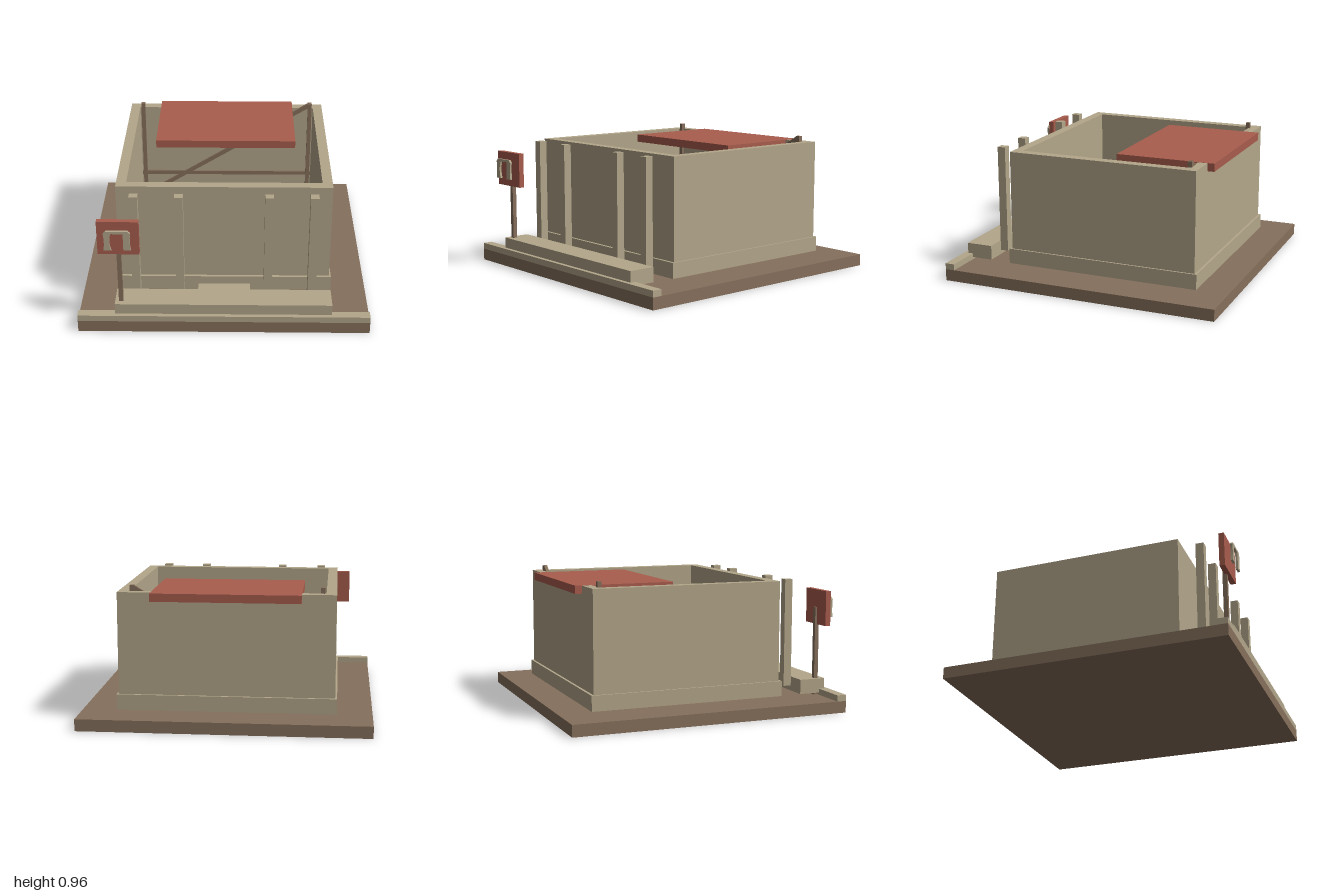
import * as THREE from 'three';

const mat = (name, color) => {
  const m = new THREE.MeshStandardMaterial({ color });
  m.name = name;
  return m;
};

export function createModel() {
  const group = new THREE.Group();
  const sand = mat('sand', 0xb3a68a);
  const earth = mat('earth brown', 0x86705c);
  const brick = mat('brick red', 0xa85d4d);

  const add = (name, geometry, material) => {
    const mesh = new THREE.Mesh(geometry, material);
    mesh.name = name;
    group.add(mesh);
    return mesh;
  };
  // Box given by its extents along each axis
  const box = (name, material, [x0, x1], [y0, y1], [z0, z1]) => {
    const mesh = add(name, new THREE.BoxGeometry(x1 - x0, y1 - y0, z1 - z0), material);
    mesh.position.set((x0 + x1) / 2, (y0 + y1) / 2, (z0 + z1) / 2);
    return mesh;
  };

  // Ground slab and front kerb
  box('groundSlab', earth, [-1, 1], [0, 0.083], [-1, 1]);
  box('frontKerb', sand, [-1, 1], [0.083, 0.127], [0.932, 1]);

  // Plinth, which is also the floor of the room
  box('plinth', sand, [-0.757, 0.752], [0.1, 0.208], [-0.788, 0.622]);

  // Roofless walls: a rectangle with a rectangular hole, extruded upwards
  const rect = (path, x0, x1, z0, z1) =>
    path.moveTo(x0, -z1).lineTo(x1, -z1).lineTo(x1, -z0).lineTo(x0, -z0).closePath();
  const plan = new THREE.Shape();
  rect(plan, -0.744, 0.739, -0.77, 0.602);
  const hole = new THREE.Path();
  rect(hole, -0.674, 0.669, -0.7, 0.533);
  plan.holes.push(hole);
  const wallGeometry = new THREE.ExtrudeGeometry(plan, { depth: 0.707, bevelEnabled: false });
  wallGeometry.rotateX(-Math.PI / 2);
  add('walls', wallGeometry, sand).position.y = 0.208;

  // Low counter in the front corner of the room
  box('counter', sand, [0.23, 0.669], [0.208, 0.42], [0.295, 0.533]);

  // Timber frame along the back wall
  for (const x of [-0.65, 0.645]) {
    box('framePost', earth, [x - 0.015, x + 0.015], [0.12, 0.955], [-0.712, -0.682]);
  }
  box('frameRail', earth, [-0.674, 0.669], [0.335, 0.365], [-0.708, -0.685]);
  const low = new THREE.Vector2(-0.65, 0.15);
  const high = new THREE.Vector2(0.645, 0.945);
  const brace = add('frameBrace',
    new THREE.BoxGeometry(low.distanceTo(high), 0.03, 0.024), earth);
  brace.position.set((low.x + high.x) / 2, (low.y + high.y) / 2, -0.697);
  brace.rotation.z = Math.atan2(high.y - low.y, high.x - low.x);

  // Flat roof panel resting in the back wall
  box('roofPanel', brick, [-0.512, 0.51], [0.86, 0.916], [-0.818, -0.108]);

  // Entrance: step, front terrace and row of columns
  box('entranceStep', sand, [-0.185, 0.182], [0.09, 0.148], [0.622, 0.78]);
  box('frontTerrace', sand, [-0.744, 0.739], [0.1, 0.203], [0.778, 0.97]);
  for (const x of [-0.612, -0.307, 0.303, 0.608]) {
    box('column', sand, [x - 0.029, x + 0.029], [0.146, 0.915], [0.698, 0.756]);
  }

  // Sign on a post
  box('signPost', earth, [-0.718, -0.688], [0.083, 0.715], [0.902, 0.932]);
  box('signBoard', brick, [-0.84, -0.561], [0.594, 0.841], [0.916, 0.954]);

  // Plain gateway ornament in front of the board, with bowed jambs
  const gate = new THREE.Shape();
  gate.moveTo(-0.793, 0.65);
  gate.quadraticCurveTo(-0.783, 0.72, -0.793, 0.775);
  gate.lineTo(-0.775, 0.793);
  gate.lineTo(-0.63, 0.793);
  gate.lineTo(-0.613, 0.775);
  gate.quadraticCurveTo(-0.623, 0.72, -0.613, 0.65);
  gate.lineTo(-0.662, 0.65);
  gate.lineTo(-0.662, 0.775);
  gate.lineTo(-0.742, 0.775);
  gate.quadraticCurveTo(-0.765, 0.71, -0.742, 0.65);
  gate.closePath();
  add('gateOrnament',
    new THREE.ExtrudeGeometry(gate, { depth: 0.016, bevelEnabled: false, curveSegments: 6 }),
    sand).position.z = 0.982;

  return group;
}
